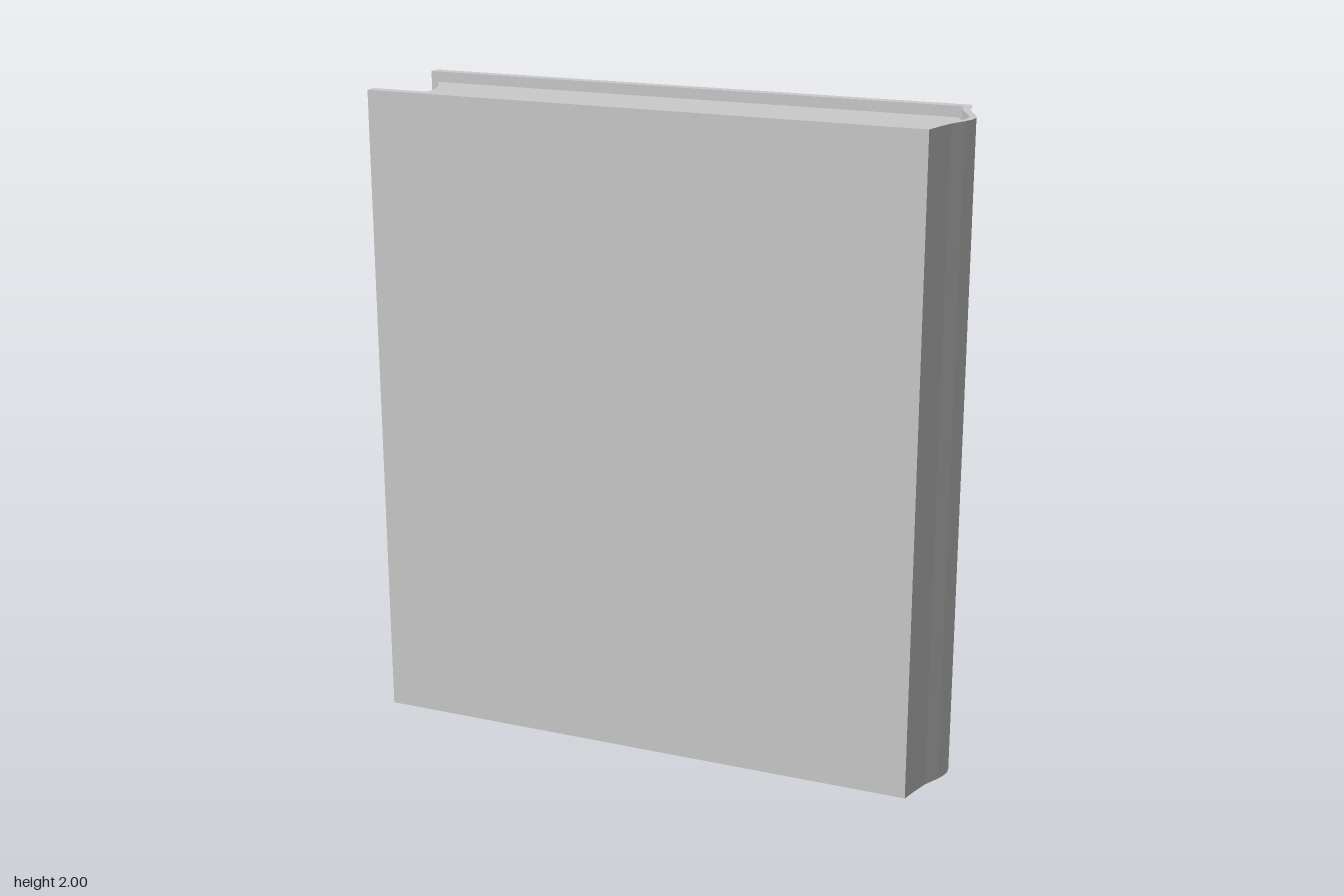
import * as THREE from 'three';

const material = new THREE.MeshStandardMaterial({ color: 0xcccccc, flatShading: true, side: THREE.DoubleSide });

// Completes a half outline (z > 0) with its mirror image
const mirrored = (half) => [...half, ...half.slice().reverse().filter(([, z]) => z !== 0).map(([x, z]) => [x, -z])];

// Upright prism from an x/z outline
function prism(outline, y0, y1) {
  const shape = new THREE.Shape(outline.map(([x, z]) => new THREE.Vector2(x, z)));
  const geo = new THREE.ExtrudeGeometry(shape, { depth: y1 - y0, bevelEnabled: false });
  geo.rotateX(-Math.PI / 2);
  geo.translate(0, y0, 0);
  return geo;
}

function part(name, geo) {
  const mesh = new THREE.Mesh(geo, material);
  mesh.name = name;
  return mesh;
}

export function createModel() {
  const book = new THREE.Group();
  book.name = 'book';

  // Cover: two boards joined by a rounded spine
  const outer = mirrored([[-0.9, 0.215], [0.83, 0.215], [0.845, 0.155], [0.86, 0.105], [0.885, 0.055], [0.896, 0.025], [0.9, 0]]);
  const inner = mirrored([[-0.9, 0.18], [0.815, 0.18], [0.824, 0.145], [0.84, 0.1], [0.865, 0.052], [0.876, 0.025], [0.88, 0]]);
  book.add(part('cover', prism([...outer, ...inner.reverse()], 0, 2)));

  // Pages: hollow fore edge, rounded back, slightly thicker towards the bottom
  const foreEdge = [];
  for (let i = 0; i <= 6; i++) {
    const t = i / 6;
    foreEdge.push([-0.81 - 0.062 * t * t, 0.165 * t]);
  }
  const pages = prism(mirrored([...foreEdge, [0.81, 0.165], [0.835, 0.1], [0.86, 0.05], [0.875, 0]]).slice(0, -1), 0.03, 1.97);
  const p = pages.attributes.position;
  for (let i = 0; i < p.count; i++) {
    if (p.getY(i) < 1 && Math.abs(p.getZ(i)) > 0.16) p.setZ(i, Math.sign(p.getZ(i)) * 0.178);
  }
  pages.computeVertexNormals();
  book.add(part('pages', pages));

  return book;
}
